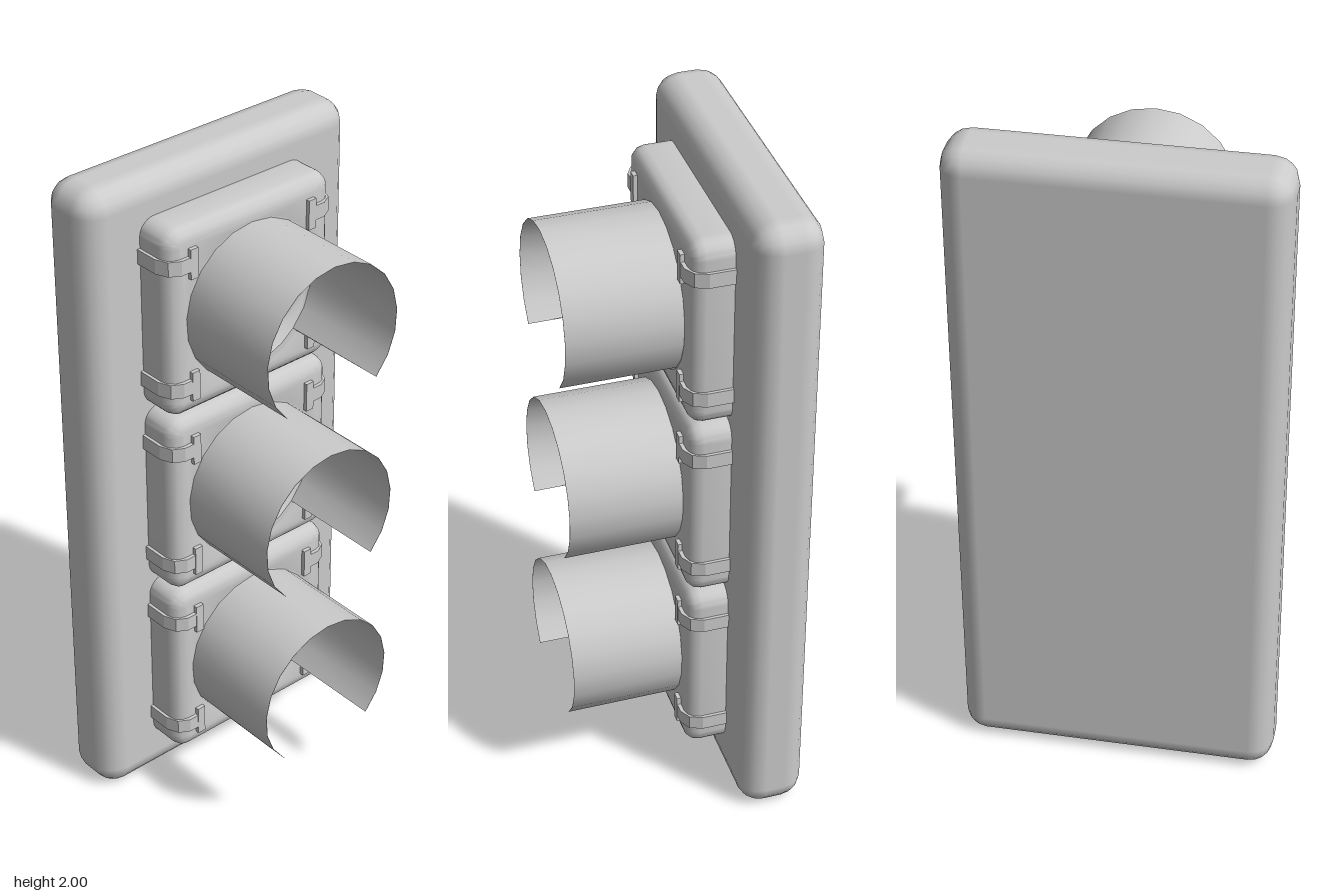
import * as THREE from 'three';
import { toCreasedNormals } from 'three/addons/utils/BufferGeometryUtils.js';
import { RoundedBoxGeometry } from 'three/addons/geometries/RoundedBoxGeometry.js';

const grey = new THREE.MeshStandardMaterial({ color: 0xcccccc });
const greyDouble = new THREE.MeshStandardMaterial({ color: 0xcccccc, side: THREE.DoubleSide });

function mesh(name, geometry, material = grey) {
  const m = new THREE.Mesh(geometry, material);
  m.name = name;
  return m;
}

// Lathe turned so that its axis is +z; points are [radius, z], angle 0 is straight down
function latheZ(points, segments, start = 0, length = Math.PI * 2) {
  const g = new THREE.LatheGeometry(points.map(([r, z]) => new THREE.Vector2(r, z)), segments, start, length);
  return toCreasedNormals(g.rotateX(Math.PI / 2), 0.6);
}

// Rounded square housing with a round opening
function housingGeometry() {
  const w = 0.25, h = 0.248, r = 0.012;
  const s = new THREE.Shape();
  s.moveTo(-w + r, -h);
  s.lineTo(w - r, -h);
  s.quadraticCurveTo(w, -h, w, -h + r);
  s.lineTo(w, h - r);
  s.quadraticCurveTo(w, h, w - r, h);
  s.lineTo(-w + r, h);
  s.quadraticCurveTo(-w, h, -w, h - r);
  s.lineTo(-w, -h + r);
  s.quadraticCurveTo(-w, -h, -w + r, -h);
  s.holes.push(new THREE.Path().absarc(0, 0, 0.228, 0, Math.PI * 2, true));
  const g = new THREE.ExtrudeGeometry(s, {
    depth: 0.11, bevelThickness: 0.04, bevelSize: 0.04, bevelSegments: 3, curveSegments: 10,
  });
  return toCreasedNormals(g.translate(0, 0, -0.158), 0.6);
}

// Strap bent round the front corner of the housing
function strapGeometry() {
  const s = new THREE.Shape([
    [0.21, 0.003], [0.21, -0.02], [0.25, -0.02], [0.28, -0.06], [0.28, -0.14],
    [0.299, -0.14], [0.299, -0.052], [0.284, -0.015], [0.252, 0.003],
  ].map(([x, z]) => new THREE.Vector2(x, z)));
  const g = new THREE.ExtrudeGeometry(s, { depth: 0.044, bevelEnabled: false });
  return g.translate(0, 0, -0.022).rotateX(Math.PI / 2);
}

export function createModel() {
  const model = new THREE.Group();
  model.name = 'trafficSignal';

  // Backing board
  const board = mesh('backboard', new RoundedBoxGeometry(0.93, 2, 0.195, 2, 0.07));
  board.position.set(0, 1, -0.2225);
  model.add(board);

  const housing = housingGeometry();
  const strap = strapGeometry();
  const clipBar = new THREE.BoxGeometry(0.026, 0.09, 0.02).translate(0.209, 0, -0.006);
  const rim = latheZ([[0.236, -0.007], [0.217, -0.007], [0.203, -0.022], [0.197, -0.065]], 24);
  const cut = THREE.MathUtils.degToRad(44);
  const visor = latheZ([[0.217, -0.01], [0.231, 0.32], [0.232, 0.32], [0.232, -0.01]], 16, cut, Math.PI * 2 - 2 * cut);
  // Shallow convex lens
  const lensRise = 0.045, lensEdge = 0.199;
  const lensR = (lensEdge ** 2 + lensRise ** 2) / (2 * lensRise);
  const lens = new THREE.SphereGeometry(lensR, 24, 6, 0, Math.PI * 2, 0, Math.asin(lensEdge / lensR))
    .rotateX(Math.PI / 2).translate(0, 0, -0.06 + lensRise - lensR);

  // Three identical lamps stacked on the board
  ['bottom', 'middle', 'top'].forEach((place, i) => {
    const lamp = new THREE.Group();
    lamp.name = place + 'Lamp';
    lamp.position.y = 0.427 + i * 0.585;
    lamp.add(
      mesh('housing', housing),
      mesh('lensRim', rim, greyDouble),
      mesh('lens', lens),
      mesh('visor', visor, greyDouble),
    );
    // Four clips, two on each side
    for (const side of [1, -1]) {
      for (const y of [0.185, -0.193]) {
        const clip = new THREE.Group();
        clip.name = side > 0 ? 'leftClip' : 'rightClip';
        clip.add(mesh('clipStrap', strap), mesh('clipBar', clipBar));
        clip.position.y = y;
        clip.rotation.z = side > 0 ? 0 : Math.PI;
        lamp.add(clip);
      }
    }
    model.add(lamp);
  });

  return model;
}
